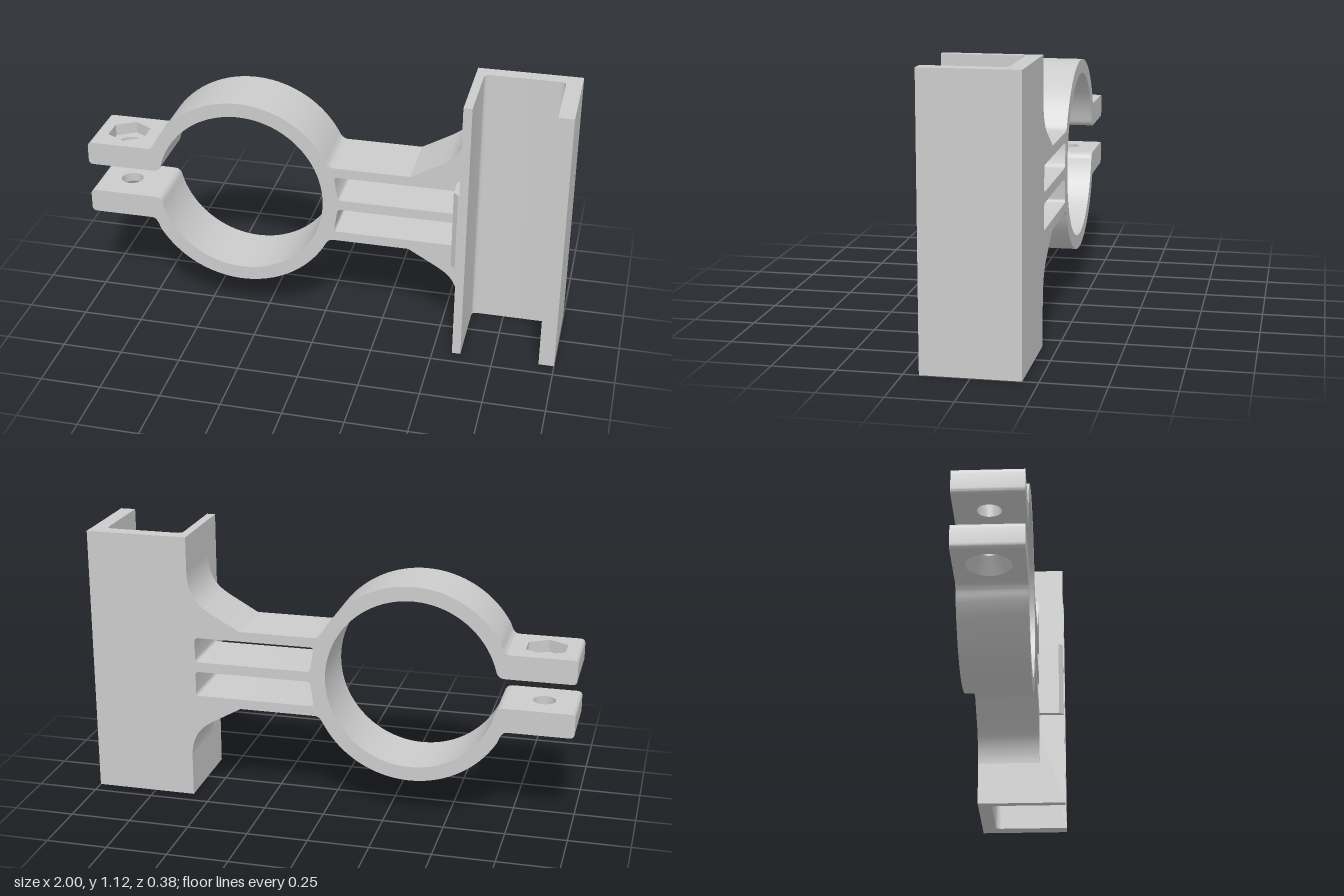
import * as THREE from 'three';
import { toCreasedNormals } from 'three/addons/utils/BufferGeometryUtils.js';

const CY = 0.573, BACK = -0.19, FRONT = 0.08; // clamp axis height and depth range
const RING_X = -0.345, R_OUT = 0.41, R_IN = 0.351;
const BOLT = { x: -0.863, z: -0.057, r: 0.046 };
const LUG_IN = 0.062, LUG_OUT = 0.162, LUG_X = -0.74, CAP_X = -0.97;

const material = new THREE.MeshStandardMaterial({ color: 0xcccccc });
const v = (x, y) => new THREE.Vector2(x, y);
const flip = (pts) => pts.map((p) => v(p.x, -p.y)).reverse();

function mesh(name, geometry) {
  const m = new THREE.Mesh(toCreasedNormals(geometry, 0.5), material);
  m.name = name;
  return m;
}

const extrude = (shape, depth) =>
  new THREE.ExtrudeGeometry(shape, { depth, bevelEnabled: false, curveSegments: 12 });

// extrude an (x, -z) plan upwards from y0 to y1
const extrudeUp = (shape, y0, y1) =>
  extrude(shape, y1 - y0).rotateX(-Math.PI / 2).translate(0, y0, 0);

const quad = (a, b, c, n = 10) => new THREE.QuadraticBezierCurve(a, b, c).getPoints(n);

function arc(r, a0, a1, n) {
  return Array.from({ length: n + 1 }, (_, i) => {
    const a = a0 + ((a1 - a0) * i) / n;
    return v(RING_X + r * Math.cos(a), r * Math.sin(a));
  });
}

// polygon with each corner rounded by a distance (zero keeps it sharp)
function rounded(corners, radii) {
  const pts = [];
  corners.forEach((c, i) => {
    const r = Array.isArray(radii) ? radii[i] : radii;
    if (!r) return pts.push(c);
    const n = corners.length;
    const toward = (q) => c.clone().add(q.clone().sub(c).setLength(r));
    pts.push(...quad(toward(corners[(i + n - 1) % n]), c, toward(corners[(i + 1) % n]), 6));
  });
  return pts;
}

// ring, ribbed arm and flared root as one profile, mirrored about the clamp axis
function clampBody() {
  const aLug = Math.atan2(0.207, -0.355), aArm = Math.asin(0.19 / R_OUT);
  const ring = arc(R_OUT, aLug, aArm, 40);
  const upper = [
    ...quad(v(-0.735, LUG_OUT), v(-0.712, LUG_OUT), ring[0], 8),
    ...ring,
    ...quad(ring[40], v(0.03, 0.168), v(0.05, 0.167), 6).slice(1),
    v(0.365, 0.167), v(0.49, 0.238),
    ...quad(v(0.5, 0.245), v(0.575, 0.29), v(0.58, 0.39), 14),
  ];
  const aIn = Math.PI - Math.asin(0.087 / R_IN);
  const inner = arc(R_IN, -aIn, aIn, 80);
  const lip = quad(inner[80], v(-0.692, LUG_IN), v(-0.72, LUG_IN), 8).slice(1);
  const outline = [
    v(LUG_X, LUG_OUT), ...upper,
    ...flip(upper), v(LUG_X, -LUG_OUT), v(LUG_X, -LUG_IN),
    ...flip(lip), ...inner, ...lip, v(LUG_X, LUG_IN),
  ];
  const shape = new THREE.Shape(outline);
  const slot = rounded([v(0.069, 0.021), v(0.555, 0.021), v(0.555, 0.126), v(0.053, 0.126)], 0.016);
  shape.holes.push(new THREE.Path(slot), new THREE.Path(flip(slot)));
  return mesh('clampRingAndArm', extrude(shape, FRONT - BACK).translate(0, CY, BACK));
}

// bolt plate with a round or hexagonal hole
function plate(y0, y1, r, sides) {
  const shape = new THREE.Shape([
    v(CAP_X, -FRONT), v(LUG_X, -FRONT), v(LUG_X, -BACK), v(CAP_X, -BACK),
  ]);
  shape.holes.push(new THREE.Path(Array.from({ length: sides }, (_, i) => {
    const a = Math.PI / 2 - (i / sides) * Math.PI * 2;
    return v(BOLT.x + r * Math.cos(a), -BOLT.z + r * Math.sin(a));
  })));
  return extrudeUp(shape, y0, y1);
}

// narrow the upper rim of a round hole to make a countersink
function countersink(geometry, yTop, rWide) {
  const p = geometry.attributes.position;
  for (let i = 0; i < p.count; i++) {
    const dx = p.getX(i) - BOLT.x, dz = p.getZ(i) - BOLT.z;
    if (p.getY(i) > yTop - 1e-4 && Math.hypot(dx, dz) < rWide + 1e-3) {
      p.setX(i, BOLT.x + (dx * BOLT.r) / rWide);
      p.setZ(i, BOLT.z + (dz * BOLT.r) / rWide);
    }
  }
  return geometry;
}

function lug(name, yLow, yHigh, yMid, lower, upper) {
  const g = new THREE.Group();
  g.name = name;
  const cap = rounded([v(-1, yLow), v(CAP_X, yLow), v(CAP_X, yHigh), v(-1, yHigh)], [0.02, 0, 0, 0.02]);
  g.add(
    mesh('roundedEnd', extrude(new THREE.Shape(cap), FRONT - BACK).translate(0, 0, BACK)),
    mesh('lowerPlate', lower(yLow, yMid)),
    mesh('upperPlate', upper(yMid, yHigh)),
  );
  return g;
}

export function createModel() {
  const model = new THREE.Group();
  model.name = 'clampBracket';
  model.add(clampBody());

  // lugs: nut pocket on top, countersink underneath
  const bore = (a, b) => plate(a, b, BOLT.r, 32);
  model.add(
    lug('upperLug', CY + LUG_IN, CY + LUG_OUT, CY + 0.112, bore, (a, b) => plate(a, b, 0.09, 6)),
    lug('lowerLug', CY - LUG_OUT, CY - LUG_IN, CY - 0.1,
      (a, b) => countersink(plate(a, b, 0.086, 32), b, 0.086), bore),
  );

  // U-shaped channel, open to the front
  const channel = new THREE.Shape(rounded([
    v(0.58, -0.19), v(0.615, -0.19), v(0.615, 0.13), v(0.937, 0.13),
    v(0.937, -0.19), v(1, -0.19), v(1, 0.19), v(0.58, 0.19),
  ], [0, 0, 0.024, 0.024, 0, 0, 0, 0]));
  model.add(mesh('channel', extrudeUp(channel, 0, 1.12)));

  // thickened pad on the channel wall in front of the arm
  const pad = new THREE.Shape([
    v(0.555, -FRONT), v(0.555, -0.168), v(0.575, -0.188), v(0.58, -0.188), v(0.58, -FRONT),
  ]);
  model.add(mesh('wallPad', extrudeUp(pad, CY - 0.167, CY + 0.167)));
  return model;
}
